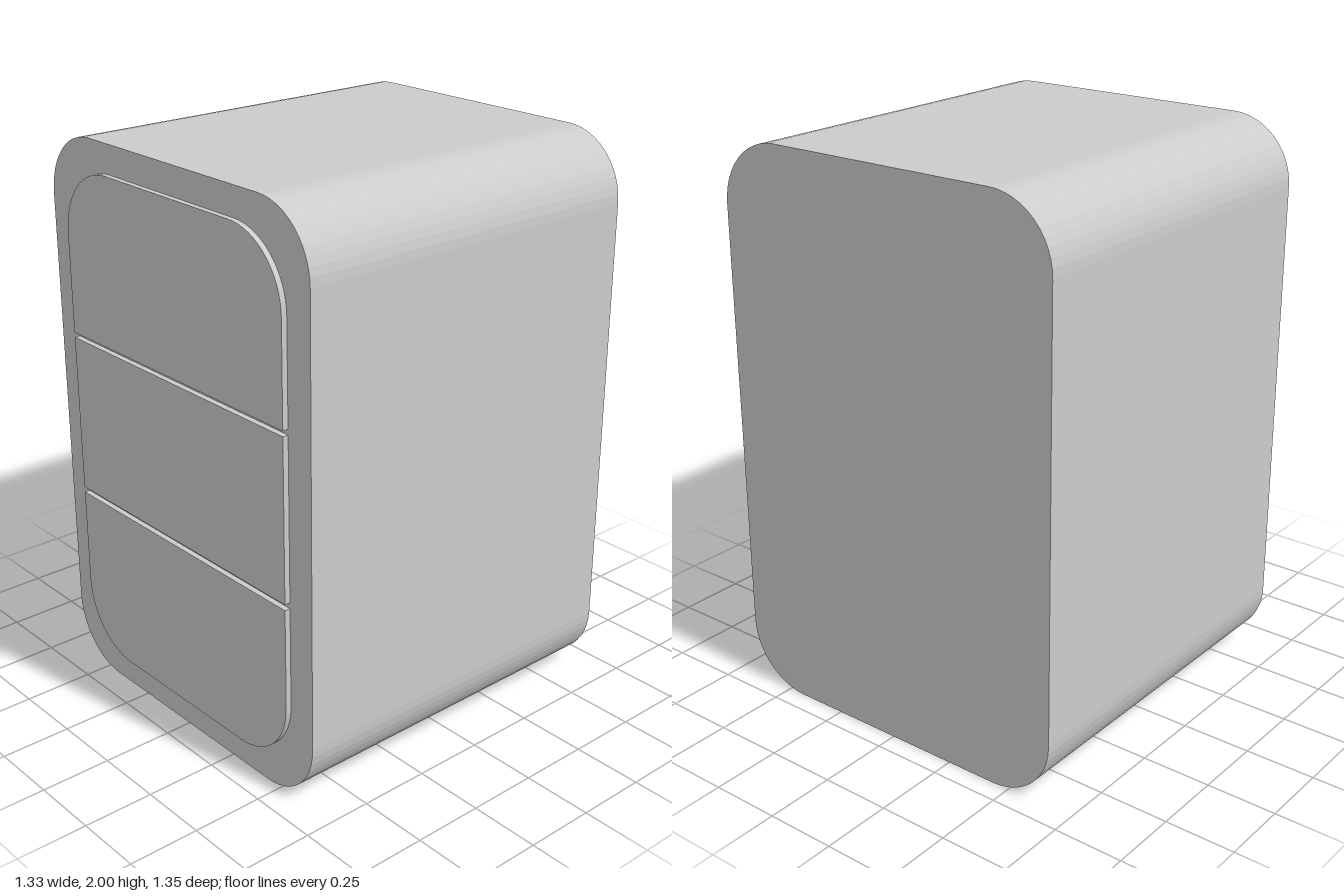
import * as THREE from 'three';

const material = new THREE.MeshStandardMaterial({ color: 0xcccccc, flatShading: true });

// Rectangle outline with separate radii for its top and bottom corners
function roundedOutline(halfWidth, bottom, top, bottomRadius, topRadius) {
  const s = new THREE.Shape();
  const corner = (x, y, r, start) => {
    if (r > 0) s.absarc(x, y, r, start, start + Math.PI / 2, false);
    else s.lineTo(x, y);
  };
  s.moveTo(-halfWidth + bottomRadius, bottom);
  corner(halfWidth - bottomRadius, bottom + bottomRadius, bottomRadius, -Math.PI / 2);
  corner(halfWidth - topRadius, top - topRadius, topRadius, 0);
  corner(-halfWidth + topRadius, top - topRadius, topRadius, Math.PI / 2);
  corner(-halfWidth + bottomRadius, bottom + bottomRadius, bottomRadius, Math.PI);
  s.closePath();
  return s;
}

function slab(name, outline, back, front, segments) {
  const geometry = new THREE.ExtrudeGeometry(outline, {
    depth: front - back, bevelEnabled: false, curveSegments: segments,
  });
  geometry.translate(0, 0, back);
  const mesh = new THREE.Mesh(geometry, material);
  mesh.name = name;
  return mesh;
}

export function createModel() {
  const model = new THREE.Group();
  model.name = 'drawerCabinet';

  // Cabinet body with rounded long edges
  model.add(slab('cabinetBody', roundedOutline(0.665, 0, 2, 0.23, 0.23), -0.675, 0.655, 6));

  // Three drawer fronts; the outer corners of the stack are rounded
  const drawers = [
    ['bottomDrawer', 0.105, 0.70, 0.24, 0],
    ['middleDrawer', 0.72, 1.288, 0, 0],
    ['topDrawer', 1.306, 1.9, 0, 0.24],
  ];
  for (const [name, bottom, top, bottomRadius, topRadius] of drawers) {
    model.add(slab(name, roundedOutline(0.56, bottom, top, bottomRadius, topRadius), 0.655, 0.675, 8));
  }
  return model;
}
